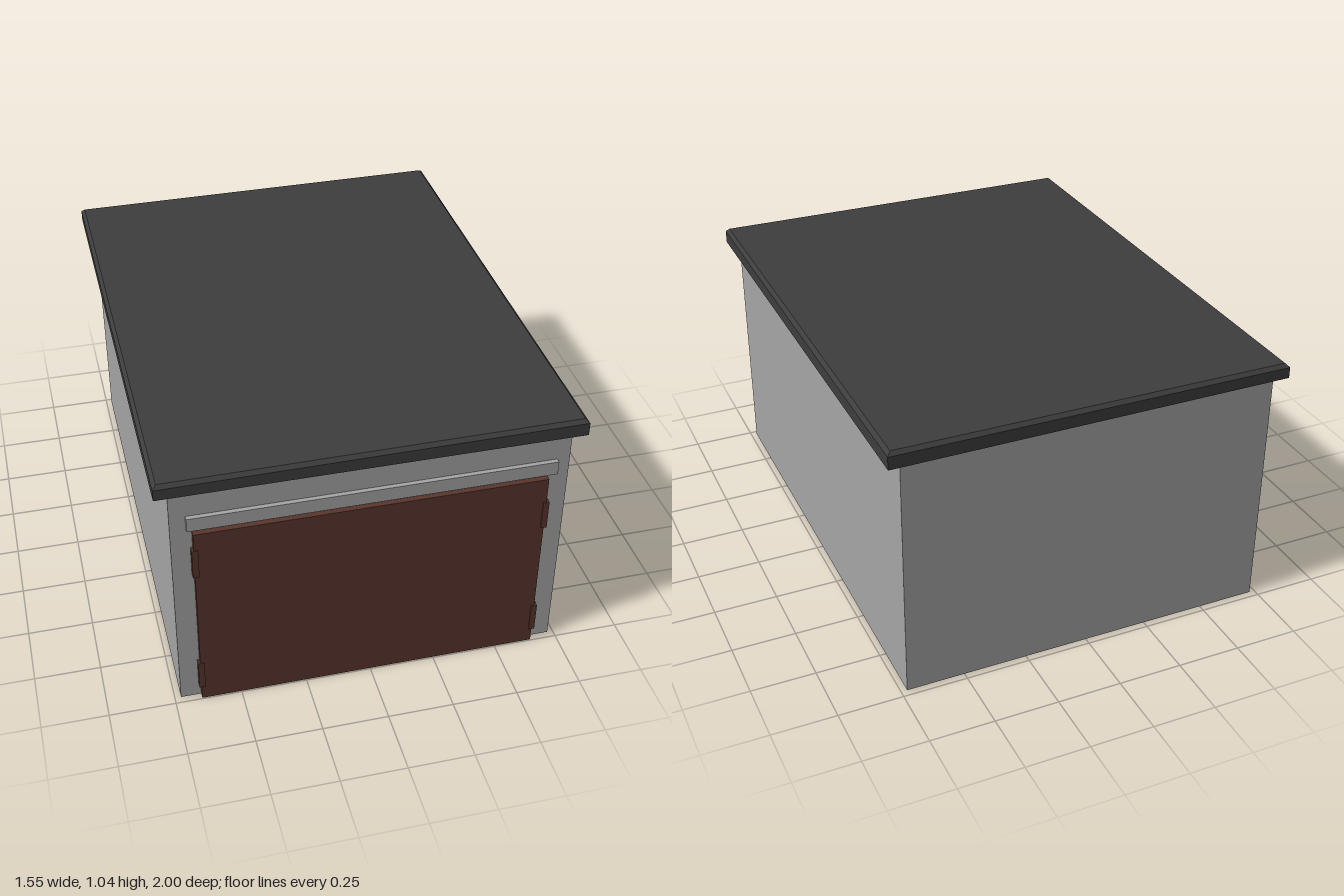
import * as THREE from 'three';

export function createModel() {
  const group = new THREE.Group();
  group.name = 'garage';
  const material = (name, color) => {
    const m = new THREE.MeshStandardMaterial({ color });
    m.name = name;
    return m;
  };
  const wallGrey = material('wall grey', 0xa5a5a5);
  const roofGrey = material('roof dark grey', 0x3d3d3d);
  const doorBrown = material('door brown', 0x5a362d);

  const add = (name, geometry, mat) => {
    const mesh = new THREE.Mesh(geometry, mat);
    mesh.name = name;
    group.add(mesh);
    return mesh;
  };
  // Box given by its minimum and maximum on each axis
  const box = (name, mat, [x0, x1], [y0, y1], [z0, z1]) =>
    add(name, new THREE.BoxGeometry(x1 - x0, y1 - y0, z1 - z0), mat)
      .position.set((x0 + x1) / 2, (y0 + y1) / 2, (z0 + z1) / 2);

  // Walls and the beam above the door
  box('walls', wallGrey, [-0.727, 0.727], [0.002, 0.985], [-0.975, 0.975]);
  box('lintel', wallGrey, [-0.67, 0.68], [0.813, 0.868], [0.974, 0.993]);

  // Door with two hinges on each side
  box('door', doorBrown, [-0.65, 0.648], [0, 0.797], [0.974, 0.996]);
  for (const [side, y0, y1] of [[-1, 0.06, 0.182], [1, 0.06, 0.182], [-1, 0.605, 0.727], [1, 0.573, 0.692]]) {
    const xs = [side * 0.635, side * 0.658].sort((a, b) => a - b);
    box('hinge', doorBrown, xs, [y0, y1], [0.974, 1]);
  }

  // Roof slab with a chamfered upper edge, rising slightly towards +x
  const roof = new THREE.BoxGeometry(1.554, 1, 2, 1, 2, 1).toNonIndexed();
  const p = roof.attributes.position;
  for (let i = 0; i < p.count; i++) {
    const x = p.getX(i), z = p.getZ(i), level = p.getY(i);
    const inset = level > 0.1 ? 0.014 : 0;
    const y = level < -0.1 ? 0.976 : (level > 0.1 ? 1.037 : 1.023) + 0.005 * x;
    p.setXYZ(i, x - Math.sign(x) * inset, y, z - Math.sign(z) * inset);
  }
  roof.computeVertexNormals();
  add('roof', roof, roofGrey);

  // Dark corner of the underside, facing down
  const corner = new THREE.BufferGeometry();
  corner.setAttribute('position', new THREE.Float32BufferAttribute(
    [-0.727, 0, 0.29, 0.34, 0, 0.975, -0.727, 0, 0.975], 3));
  corner.computeVertexNormals();
  add('floorCorner', corner, roofGrey);

  return group;
}
